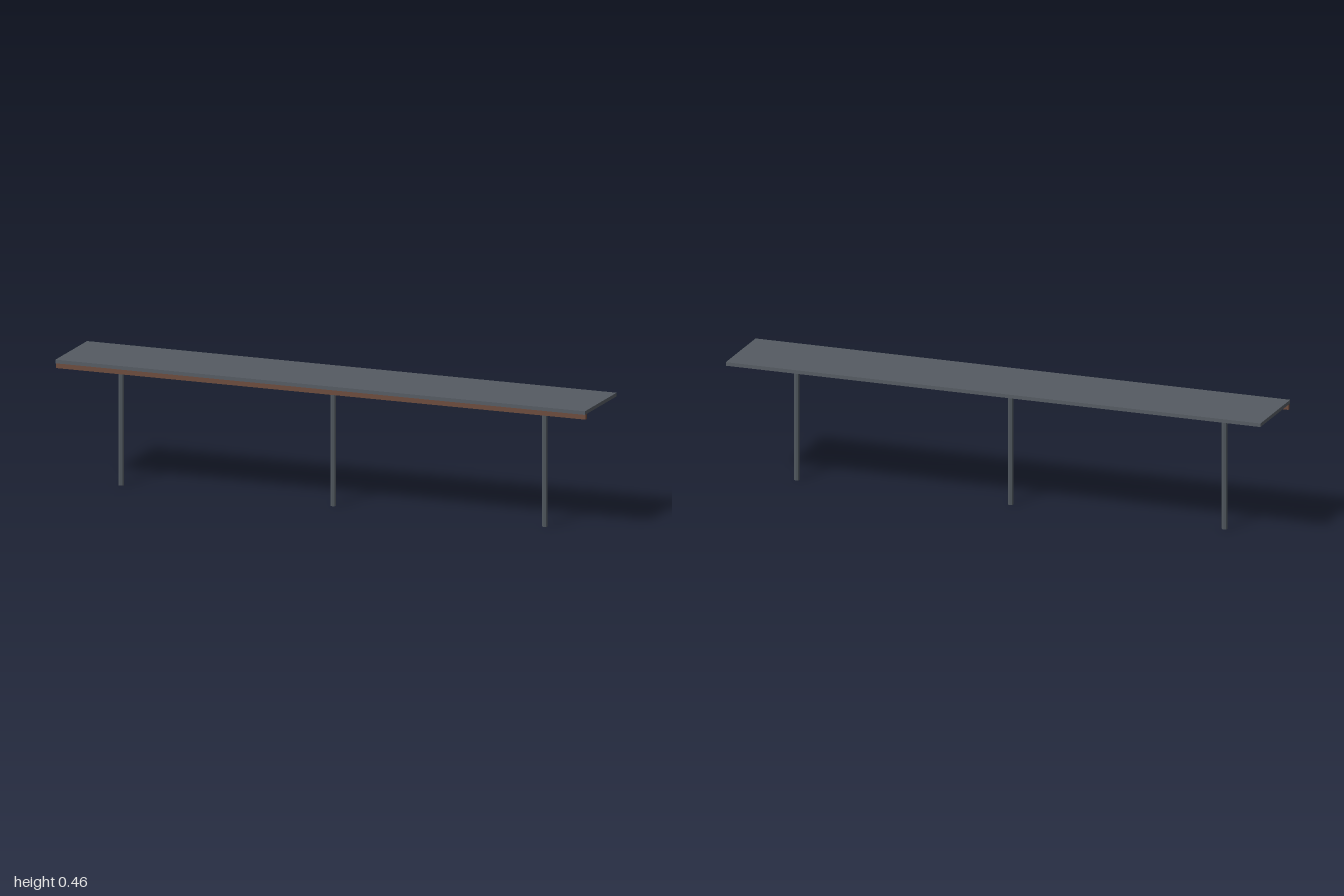
import * as THREE from 'three';

const colour = (name, hex) => {
  const m = new THREE.MeshStandardMaterial({ color: hex });
  m.name = name;
  return m;
};

export function createModel() {
  const group = new THREE.Group();
  group.name = 'canopy';
  const slate = colour('slate grey', 0x555b62);
  const steel = colour('steel grey', 0x4f565d);
  steel.flatShading = true;
  const brown = colour('rust brown', 0x6b4a3c);

  const add = (name, geometry, material, x, y, z) => {
    const mesh = new THREE.Mesh(geometry, material);
    mesh.name = name;
    mesh.position.set(x, y, z);
    group.add(mesh);
  };

  // Flat roof slab
  add('roof', new THREE.BoxGeometry(2, 0.013, 0.294), slate, 0, 0.4535, 0);

  // Fascia strip hung below the front edge
  add('frontFascia', new THREE.BoxGeometry(2, 0.019, 0.0095), brown, 0, 0.4375, 0.1345);

  // Row of three posts, set a little forward and stopping just short of the roof
  const post = new THREE.CylinderGeometry(0.0107, 0.0107, 0.44, 8);
  ['rightPost', 'middlePost', 'leftPost'].forEach((name, i) =>
    add(name, post, steel, (i - 1) * 0.8, 0.22, 0.027));

  return group;
}
